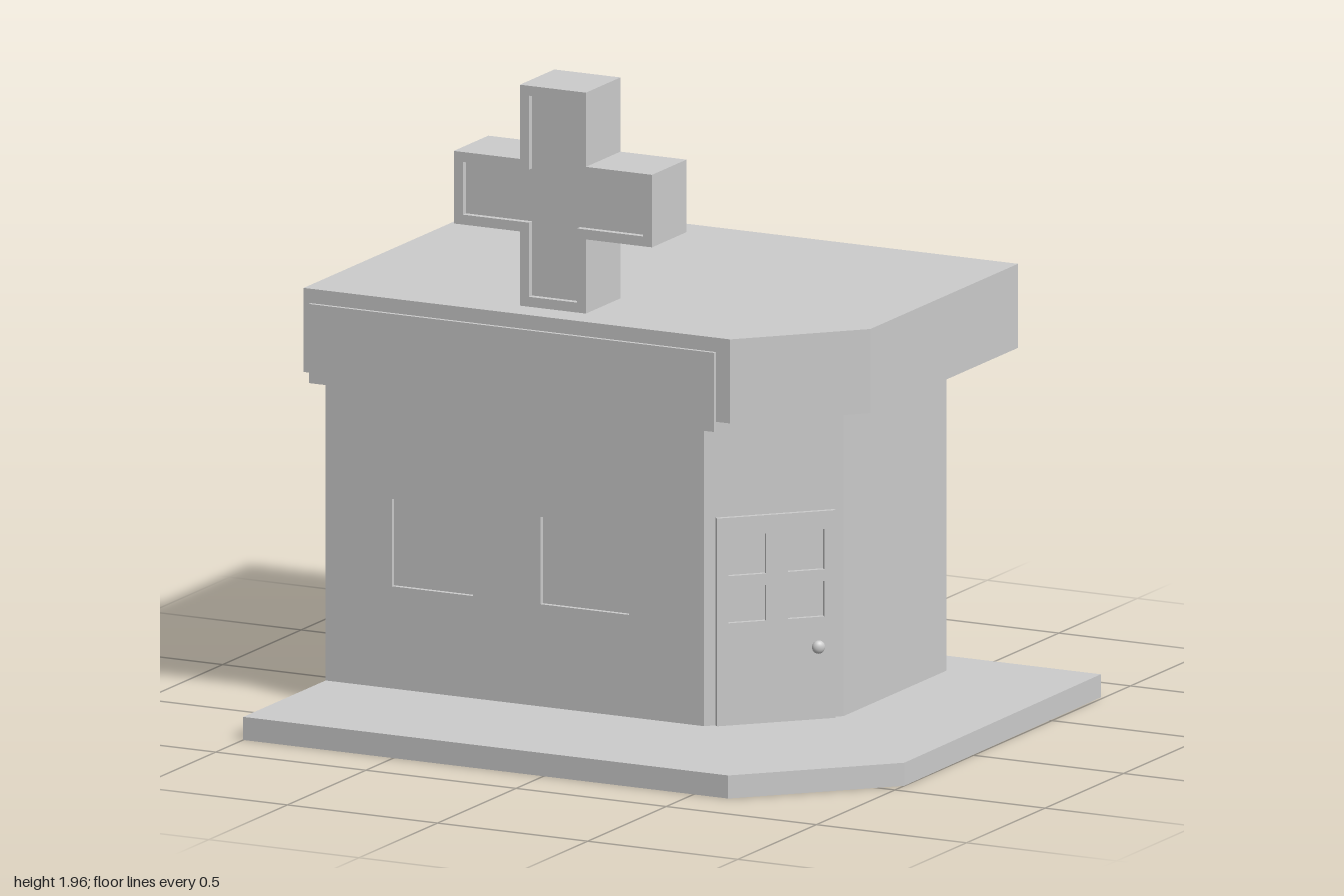
import * as THREE from 'three';

const material = new THREE.MeshStandardMaterial({ color: 0xcccccc, flatShading: true });
const smooth = new THREE.MeshStandardMaterial({ color: 0xcccccc });

function add(parent, name, geometry, mat = material) {
  const mesh = new THREE.Mesh(geometry, mat);
  mesh.name = name;
  parent.add(mesh);
  return mesh;
}

const toShape = pts => new THREE.Shape(pts.map(([x, y]) => new THREE.Vector2(x, y)));
const rect = (x0, x1, y0, y1) => [[x0, y0], [x1, y0], [x1, y1], [x0, y1]];

// Upright panel from an outline in x, y with optional holes, spanning z0 to z1
function panel(outline, holes, z0, z1) {
  const shape = toShape(outline);
  shape.holes = holes.map(toShape);
  return new THREE.ExtrudeGeometry(shape, { depth: z1 - z0, bevelEnabled: false }).translate(0, 0, z0);
}

// Horizontal slab from a floor plan given in x, z, spanning y0 to y1
function slab(plan, y0, y1) {
  const shape = toShape(plan.map(([x, z]) => [x, -z]));
  return new THREE.ExtrudeGeometry(shape, { depth: y1 - y0, bevelEnabled: false })
    .rotateX(-Math.PI / 2).translate(0, y0, 0);
}

// Plus-shaped outline, shrunk on every side by an inset
function plus(inset) {
  const a = 0.11 - inset, b = 0.33 - inset;
  const h = 0.335 - inset;
  return [[-a, -h], [a, -h], [a, -a], [b, -a], [b, a], [a, a], [a, h],
    [-a, h], [-a, a], [-b, a], [-b, -a], [-a, -a]];
}

export function createModel() {
  const model = new THREE.Group();
  model.name = 'cornerBuilding';

  // Ground slab and roof, each with one cut corner
  add(model, 'pavement', slab([[-1, -0.83], [0.99, -0.83], [1, 0.44], [0.615, 0.825], [-1, 0.825]], 0, 0.07));
  add(model, 'roof', slab([[-1, -0.81], [0.725, -0.81], [0.725, 0.13], [0.42, 0.44], [-1, 0.44]], 1.035, 1.29));

  // Walls: core block plus a front skin pierced by the windows
  const depth = 0.015, front = 0.3, corner = 0.26;
  add(model, 'walls', slab([[-1, -0.66], [0.565, -0.66], [0.565, -0.005],
    [corner + depth, front - depth], [-1, front - depth]], 0.07, 1.035));
  const skin = panel(rect(-1, corner, 0.07, 1.035),
    [rect(-0.78, -0.51, 0.38, 0.645), rect(-0.285, 0.01, 0.38, 0.645)], front - depth, front);
  // Slant the right edge of the skin to follow the cut corner
  const p = skin.attributes.position;
  for (let i = 0; i < p.count; i++) {
    if (p.getX(i) > corner - 0.01 && p.getZ(i) < front - depth / 2) p.setX(i, corner + depth);
  }
  skin.computeVertexNormals();
  add(model, 'frontWall', skin);

  // Sign board in front of the roof edge
  add(model, 'signBoard', new THREE.BoxGeometry(1.35, 0.24, 0.012)).position.set(-0.295, 1.13, 0.459);

  // Door on the cut corner, with four sunken panes
  const door = new THREE.Group();
  door.name = 'door';
  door.position.set(0.4125, 0, 0.1475);
  door.rotation.y = Math.PI / 4;
  model.add(door);
  const panes = [];
  for (const [x0, x1] of [[-0.145, -0.028], [0.039, 0.152]]) {
    for (const [y0, y1] of [[0.38, 0.488], [0.523, 0.645]]) panes.push(rect(x0, x1, y0, y1));
  }
  add(door, 'doorLeaf', panel(rect(-0.18, 0.187, 0.07, 0.7), panes, -0.002, 0.014));
  const stem = add(door, 'doorKnobStem', new THREE.CylinderGeometry(0.009, 0.009, 0.02, 16), smooth);
  stem.rotation.x = Math.PI / 2;
  stem.position.set(0.128, 0.293, 0.02);
  const knob = add(door, 'doorKnob', new THREE.SphereGeometry(0.02, 20, 14), smooth);
  knob.position.set(0.128, 0.293, 0.033);
  knob.scale.z = 0.7;

  // Rooftop cross with a raised rim on both faces
  const cross = new THREE.Group();
  cross.name = 'roofCross';
  cross.position.set(-0.22, 1.625, 0.235);
  model.add(cross);
  add(cross, 'crossBody', panel(plus(0), [], -0.09, 0.09));
  add(cross, 'crossFrontRim', panel(plus(0), [plus(0.03)], 0.09, 0.11));
  add(cross, 'crossBackRim', panel(plus(0), [plus(0.03)], -0.11, -0.09));

  return model;
}
